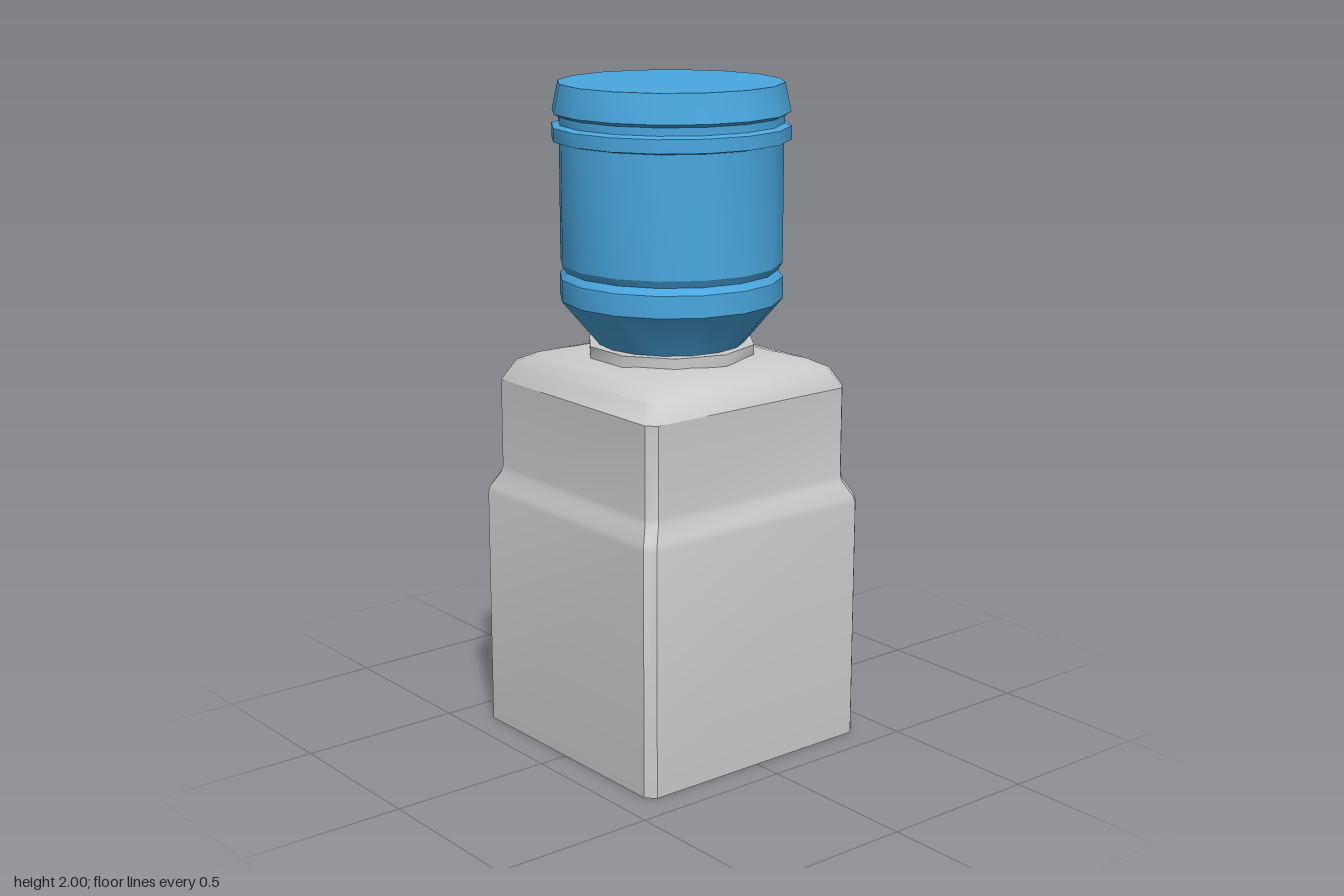
import * as THREE from 'three';
import { toCreasedNormals } from 'three/addons/utils/BufferGeometryUtils.js';

const paint = (color, side = THREE.FrontSide) => new THREE.MeshStandardMaterial({ color, side });
const GREY = 0xcccccc;

// Square ring with chamfered corners; side 0 is the +x face
function ring([y, h], c = 0.027) {
  const k = h - c;
  return [[h, -k], [h, k], [k, h], [-k, h], [-h, k], [-h, -k], [-k, -h], [k, -h]]
    .map(([x, z]) => [x, y, z]);
}

// Skin stacked rings given as [height, half width]
function loft(levels, { skip = () => false, bottom = false, top = false, crease = 0.6 }) {
  const rings = levels.map((l) => ring(l));
  const pos = [];
  const tri = (...pts) => pts.forEach((p) => pos.push(...p));
  for (let i = 0; i < rings.length - 1; i++) {
    for (let j = 0; j < 8; j++) {
      if (skip(i, j)) continue;
      const n = (j + 1) % 8;
      const [a, b, c, d] = [rings[i][j], rings[i][n], rings[i + 1][j], rings[i + 1][n]];
      tri(a, c, b);
      tri(b, c, d);
    }
  }
  for (let j = 0; j < 8; j++) {
    const n = (j + 1) % 8;
    const last = rings.length - 1;
    if (bottom) tri([0, levels[0][0], 0], rings[0][j], rings[0][n]);
    if (top) tri([0, levels[last][0], 0], rings[last][n], rings[last][j]);
  }
  const geo = new THREE.BufferGeometry();
  geo.setAttribute('position', new THREE.Float32BufferAttribute(pos, 3));
  return toCreasedNormals(geo, crease);
}

function rectangle(x0, y0, x1, y1, Type = THREE.Shape) {
  return new Type([[x0, y0], [x1, y0], [x1, y1], [x0, y1]].map((p) => new THREE.Vector2(...p)));
}

export function createModel() {
  const model = new THREE.Group();
  model.name = 'waterDispenser';
  const add = (name, geo, mat, parent = model) => {
    const mesh = new THREE.Mesh(geo, mat);
    mesh.name = name;
    parent.add(mesh);
    return mesh;
  };
  const grey = paint(GREY);

  // Cabinet walls, leaving the lower +x side open for the niche panel
  add('cabinet', loft(
    [[0, 0.41], [0.745, 0.41], [0.765, 0.405], [0.81, 0.381], [0.83, 0.377], [1.1, 0.377]],
    { skip: (i, j) => i === 0 && j === 0, bottom: true }), grey);
  add('cabinetTop', loft(
    [[1.1, 0.377], [1.155, 0.348], [1.18, 0.3], [1.195, 0.245], [1.2, 0.22]],
    { top: true, crease: 0.75 }), grey);

  // Panel around the niche opening
  const panel = rectangle(-0.383, 0, 0.383, 0.745);
  panel.holes.push(rectangle(-0.305, 0.28, 0.305, 0.66, THREE.Path));
  const panelGeo = new THREE.ShapeGeometry(panel);
  panelGeo.rotateY(Math.PI / 2).translate(0.41, 0, 0);
  add('nichePanel', panelGeo, grey);

  // Niche lining: a box seen from inside, without its +x side
  const lining = new THREE.BoxGeometry(0.42, 0.41, 0.61).translate(0.2, 0.455, 0);
  lining.setIndex(Array.from(lining.index.array).slice(6));
  lining.clearGroups();
  add('nicheLining', lining, paint(GREY, THREE.BackSide));

  // Drip grate with slots running front to back
  const grate = rectangle(-0.01, -0.305, 0.409, 0.305);
  for (let i = 0; i < 7; i++) {
    const z = (i - 3) * 0.078;
    grate.holes.push(rectangle(0.02, z - 0.02, 0.37, z + 0.02, THREE.Path));
  }
  const grateGeo = new THREE.ExtrudeGeometry(grate, { depth: 0.02, bevelEnabled: false });
  grateGeo.rotateX(Math.PI / 2).translate(0, 0.28, 0);
  add('dripGrate', grateGeo, grey);

  // Hot and cold buttons with lens-shaped coloured marks
  for (const [name, z, color] of [['hot', 0.12, 0xe0701c], ['cold', -0.12, 0x20c8d0]]) {
    const button = new THREE.Group();
    button.name = name + 'Button';
    button.position.set(0.377, 0.88, z);
    add('buttonBase', new THREE.BoxGeometry(0.03, 0.042, 0.146), paint(0xd2d0b8), button);
    const lens = new THREE.Shape();
    lens.moveTo(-0.05, 0);
    lens.quadraticCurveTo(0, -0.018, 0.05, 0);
    lens.quadraticCurveTo(0, 0.018, -0.05, 0);
    const lensGeo = new THREE.ExtrudeGeometry(lens, { depth: 0.003, bevelEnabled: false, curveSegments: 6 });
    lensGeo.rotateY(Math.PI / 2).translate(0.014, 0.011, 0);
    add('buttonMark', lensGeo, paint(color), button);
    model.add(button);
  }

  // Collar holding the bottle neck
  const collar = toCreasedNormals(new THREE.CylinderGeometry(0.255, 0.255, 0.035, 10), 0.7);
  add('collar', collar.translate(0, 1.213, 0), grey);

  // Upturned bottle with ribs
  const profile = [
    [0, 1.2], [0.205, 1.2], [0.22, 1.23], [0.333, 1.365], [0.333, 1.43], [0.318, 1.45], [0.331, 1.472],
    [0.331, 1.83], [0.353, 1.835], [0.353, 1.875], [0.333, 1.882], [0.333, 1.905],
    [0.351, 1.915], [0.333, 2], [0, 2],
  ].map((p) => new THREE.Vector2(...p));
  add('bottle', toCreasedNormals(new THREE.LatheGeometry(profile, 16), 0.45), paint(0x4aa8e0));

  return model;
}
